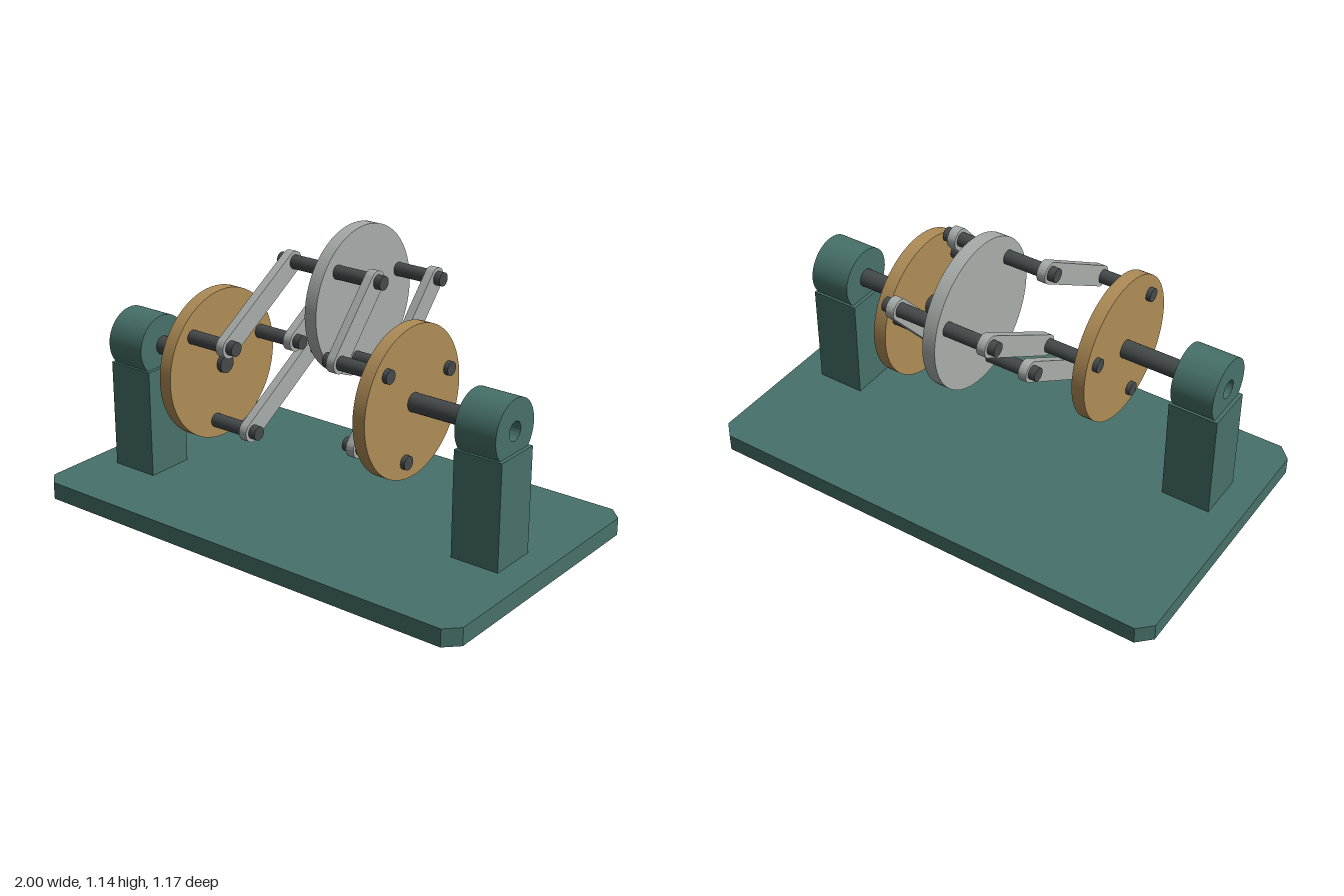
import * as THREE from 'three';
import { toCreasedNormals } from 'three/addons/utils/BufferGeometryUtils.js';

const mat = (color) => new THREE.MeshStandardMaterial({ color });

export function createModel() {
  const model = new THREE.Group();
  const green = mat(0x47716a), brass = mat(0xb08d57), silver = mat(0xa8aeab), steel = mat(0x454a4b);

  const add = (name, geometry, material, parent = model) => {
    const mesh = new THREE.Mesh(geometry, material);
    mesh.name = name;
    parent.add(mesh);
    return mesh;
  };

  // Round bar or disc along x, from x0 to x1, centred on (y, z)
  const rod = (name, x0, x1, y, z, r, material, parent) => {
    const geo = new THREE.CylinderGeometry(r, r, Math.abs(x1 - x0), r > 0.1 ? 64 : 24);
    geo.rotateZ(Math.PI / 2);
    return add(name, geo, material, parent).position.set((x0 + x1) / 2, y, z);
  };

  // Outline drawn in (-z, y), extruded along x about the plane x
  const plate = (name, shape, x, depth, material, parent) => {
    const geo = new THREE.ExtrudeGeometry(shape, { depth, bevelEnabled: false, curveSegments: 32 });
    geo.translate(0, 0, -depth / 2);
    geo.rotateY(Math.PI / 2);
    add(name, toCreasedNormals(geo, 0.6), material, parent).position.x = x;
  };

  // Base plate with cut corners
  const w = 1, d = 0.587, c = 0.055;
  const outline = new THREE.Shape([
    [-w + c, -d], [w - c, -d], [w, -d + c], [w, d - c],
    [w - c, d], [-w + c, d], [-w, d - c], [-w, -d + c],
  ].map(([x, y]) => new THREE.Vector2(x, y)));
  const base = new THREE.ExtrudeGeometry(outline, { depth: 0.072, bevelEnabled: false });
  base.rotateX(-Math.PI / 2);
  add('base', base, green);

  // Three pins at equal angles, as (y, z) offsets from a disc centre
  const pinRadius = 0.23, start = 0.74;
  const offsets = [0, 1, 2].map((i) => {
    const a = start + (i * Math.PI * 2) / 3;
    return { y: pinRadius * Math.sin(a), z: pinRadius * Math.cos(a) };
  });
  const middle = { y: 0.845, z: -0.19 };

  // Middle disc and its through pins
  rod('middleDisc', -0.027, 0.027, middle.y, middle.z, 0.3, silver);
  offsets.forEach((o) => rod('middlePin', -0.245, 0.245, middle.y + o.y, middle.z + o.z, 0.028, steel));

  // Rounded link outline between two pin centres
  const linkShape = (a, b) => {
    const t = Math.atan2(b.y - a.y, a.z - b.z), h = Math.PI / 2;
    const s = new THREE.Shape();
    s.absarc(-a.z, a.y, 0.042, t + h, t + 3 * h, false);
    s.absarc(-b.z, b.y, 0.042, t - h, t + h, false);
    s.closePath();
    return s;
  };

  // Each side: pedestal, bearing, shaft, outer disc, pins and links
  const sides = [
    { name: 'left', s: 1, y: 0.59, z: 0.032 },
    { name: 'right', s: -1, y: 0.605, z: 0.19 },
  ];
  for (const { name, s, y, z } of sides) {
    const side = new THREE.Group();
    side.name = name + 'Side';
    model.add(side);

    const top = y - 0.086, bottom = 0.07;
    add('pedestal', new THREE.BoxGeometry(0.204, top - bottom, 0.204), green, side)
      .position.set(s * 0.778, (top + bottom) / 2, z);

    const ring = new THREE.Shape().absarc(-z, y, 0.126, 0, Math.PI * 2, false);
    ring.holes.push(new THREE.Path().absarc(-z, y, 0.038, 0, Math.PI * 2, true));
    plate('bearing', ring, s * 0.778, 0.174, green, side);

    rod('shaft', s * 0.35, s * 0.78, y, z, 0.0375, steel, side);
    rod('outerDisc', s * 0.37, s * 0.424, y, z, 0.3, brass, side);

    offsets.forEach((o) => {
      const outer = { y: y + o.y, z: z + o.z };
      const inner = { y: middle.y + o.y, z: middle.z + o.z };
      rod('outerPin', s * 0.15, s * 0.443, outer.y, outer.z, 0.028, steel, side);
      plate('link', linkShape(outer, inner), s * 0.198, 0.036, silver, side);
    });
  }

  return model;
}
